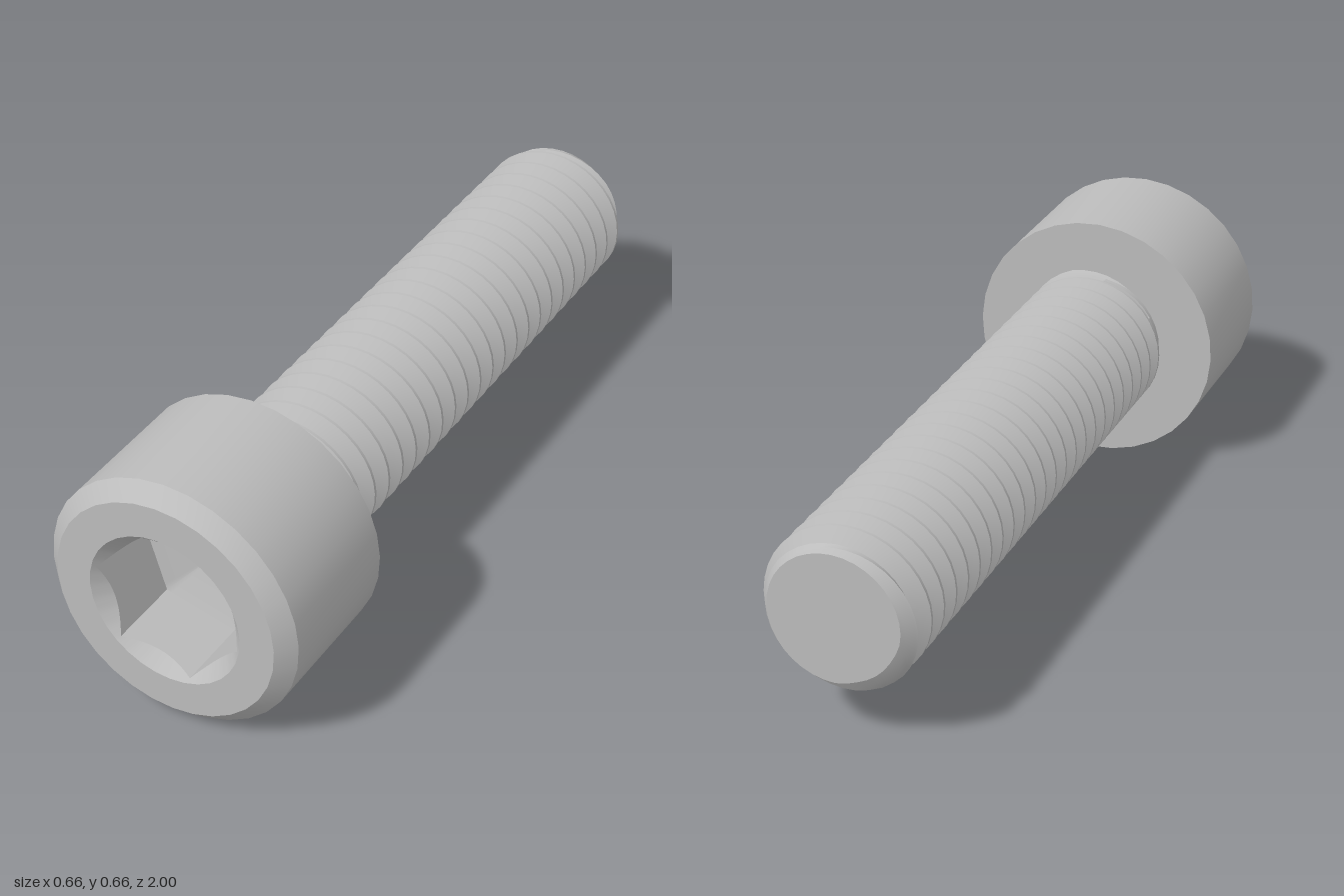
import * as THREE from 'three';
import { toCreasedNormals } from 'three/addons/utils/BufferGeometryUtils.js';

const AXIS_Y = 0.333;
const TAU = Math.PI * 2;
const HEX_TURN = THREE.MathUtils.degToRad(46.4);

// Smooth shading with sharp edges; scaled up so that fine details stay distinct
function crease(geometry) {
  return toCreasedNormals(geometry.scale(100, 100, 100), 0.5).scale(0.01, 0.01, 0.01);
}

// Surface through rings; at(ring, segment) returns a point
function ringSurface(rings, segments, at) {
  const positions = [];
  const tri = new THREE.Triangle();
  const add = (a, b, c) => {
    if (tri.set(a, b, c).getArea() > 1e-9) {
      for (const p of [a, b, c]) positions.push(p.x, p.y, p.z);
    }
  };
  for (let j = 0; j < rings - 1; j++) {
    for (let i = 0; i < segments; i++) {
      const a = at(j, i), b = at(j, i + 1), c = at(j + 1, i), d = at(j + 1, i + 1);
      add(a, b, d);
      add(a, d, c);
    }
  }
  const geometry = new THREE.BufferGeometry();
  geometry.setAttribute('position', new THREE.Float32BufferAttribute(positions, 3));
  return crease(geometry);
}

const polar = (r, angle, z) => new THREE.Vector3(r * Math.cos(angle), r * Math.sin(angle), z);

// Chamfered cylindrical head, open in the middle for the socket
function headGeometry() {
  const profile = [[0, 0.6], [0.332, 0.6], [0.332, 0.96], [0.292, 1], [0.202, 1]];
  const geometry = new THREE.LatheGeometry(
    profile.map(([r, z]) => new THREE.Vector2(r, z)), 32, HEX_TURN + Math.PI / 2);
  return crease(geometry.rotateX(Math.PI / 2));
}

// Hexagonal recess with a countersunk rim and a shallow conical floor
function socketGeometry() {
  const segments = 96, rim = 0.202, apothem = 0.167;
  const polygonRadius = (inner, sides, a) => {
    const sector = TAU / sides;
    return inner / Math.cos((a % sector) - sector / 2);
  };
  return ringSurface(4, segments, (j, i) => {
    const a = (i % segments) * TAU / segments;
    const hex = polygonRadius(apothem, 6, a);
    const ring = [
      [polygonRadius(rim * Math.cos(Math.PI / 32), 32, a), 1],
      [hex, 1 - (rim - hex)],
      [hex, 0.8],
      [0, 0.74],
    ][j];
    return polar(ring[0], a + HEX_TURN, ring[1]);
  });
}

// Right-handed helical thread with a chamfered, capped end
function threadGeometry() {
  const pitch = 1.6 / 24, crest = 0.2, root = 0.159, phase = 0.541;
  const tail = -1, top = 0.6, segments = 36;
  const steps = [0, 0.06, 0.25, 0.44, 0.56, 0.75, 0.94];
  const offsets = [];
  for (let k = -25; k < 3; k++) for (const u of steps) offsets.push((k + u) * pitch);

  const radiusAt = (z, helixZ) => {
    const turn = (z - helixZ) / pitch;
    const u = Math.abs(turn - Math.round(turn));
    const flank = THREE.MathUtils.clamp((u - 0.06) / 0.38, 0, 1);
    const r = THREE.MathUtils.lerp(crest, root, flank);
    const collar = z > 0.58 ? 0.185 : 0;
    return Math.min(Math.max(r, collar), 0.165 + (z - tail));
  };

  return ringSurface(offsets.length + 1, segments, (j, i) => {
    const a = i * TAU / segments;
    if (j === 0) return polar(0, a, tail);
    const helixZ = phase + pitch * (a / TAU - 0.25);
    const z = THREE.MathUtils.clamp(helixZ + offsets[j - 1], tail, top);
    return polar(radiusAt(z, helixZ), a, z);
  });
}

export function createModel() {
  const steel = new THREE.MeshStandardMaterial({ color: 0xbcbcbc });
  steel.name = 'steel grey';

  const model = new THREE.Group();
  model.name = 'socketHeadScrew';
  const parts = { head: headGeometry(), hexSocket: socketGeometry(), threadedShank: threadGeometry() };
  for (const [name, geometry] of Object.entries(parts)) {
    const mesh = new THREE.Mesh(geometry, steel);
    mesh.name = name;
    mesh.position.y = AXIS_Y;
    model.add(mesh);
  }
  return model;
}
